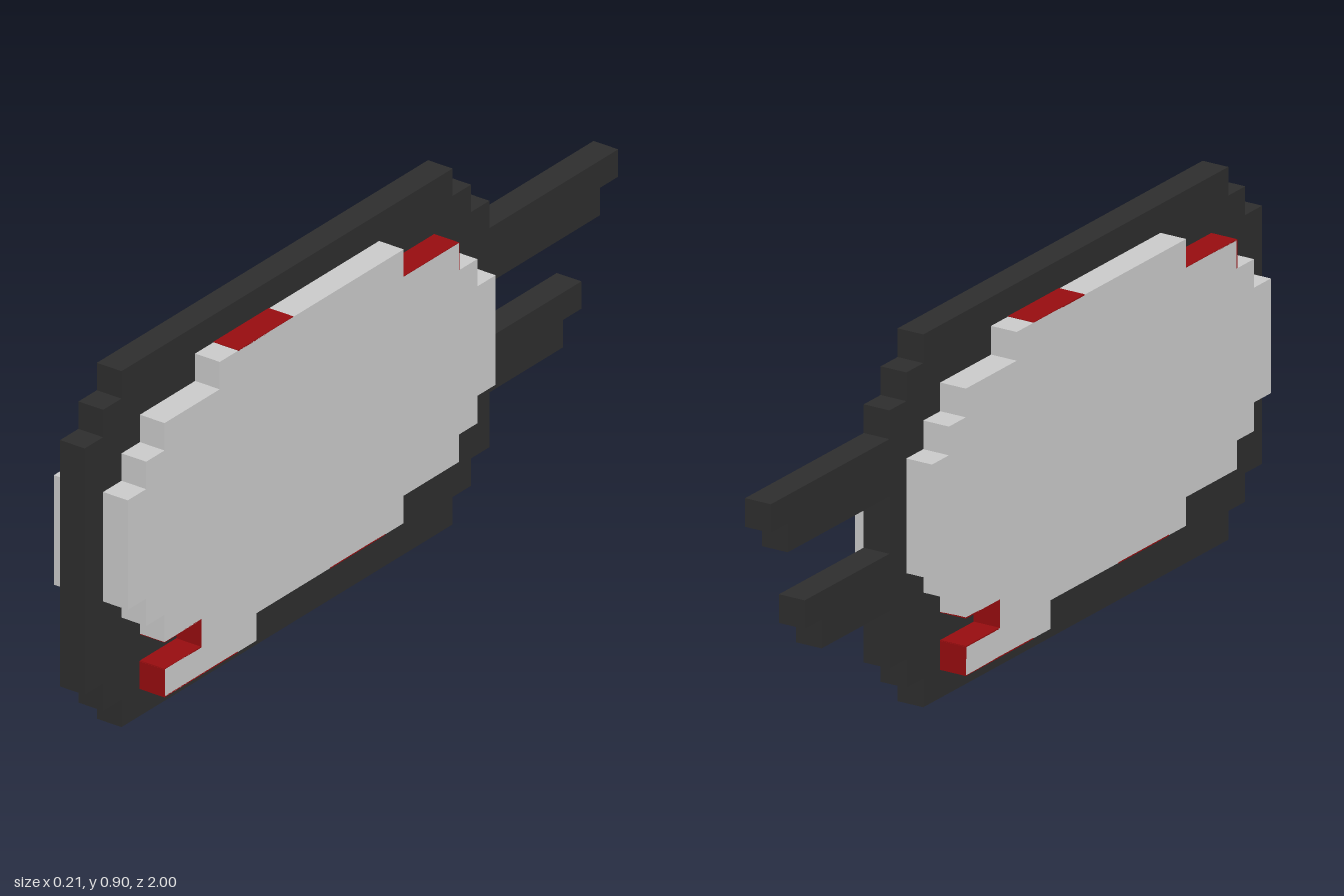
import * as THREE from 'three';

const U = 2 / 29;          // one pixel of the stepped grid
const MID = 11;            // column at the middle of the plate
const CENTRE_Z = 1 - MID * U;

const mat = (name, color) => {
  const m = new THREE.MeshStandardMaterial({ color });
  m.name = name;
  return m;
};

// Stepped slab from rows of [bottom, top, first column, last column], columns run front to back
function slab(rows, x0, x1) {
  const right = rows.flatMap(([b, t, , k]) => [[k, b], [k, t]]);
  const left = rows.flatMap(([b, t, k]) => [[k, b], [k, t]]).reverse();
  const pts = [...right, ...left].map(([k, j]) => new THREE.Vector2((k - MID) * U, j * U));
  const geo = new THREE.ExtrudeGeometry(new THREE.Shape(pts), { depth: (x1 - x0) * U, bevelEnabled: false });
  return geo.translate(0, 0, x0 * U).rotateY(Math.PI / 2);
}

const BODY_ROWS = [
  [0, 1, 2, 20], [1, 2, 1, 21], [2, 4, 0, 22],
  [4, 5, 0, 26], [5, 6, 0, 27],              // lower prong
  [6, 8, 0, 22],
  [8, 9, 0, 28], [9, 10, 0, 29],             // upper prong
  [10, 11, 0, 22], [11, 12, 1, 21], [12, 13, 2, 20],
];

const PANEL_ROWS = [
  [1, 2, 3, 8], [2, 3, 5, 16], [3, 4, 3, 19], [4, 5, 2, 20], [5, 9, 1, 21],
  [9, 10, 2, 20], [10, 11, 3, 19], [11, 12, 6, 16],
];

// Red edge strips as [first column, last column, bottom, top]
const STRIPS = [
  [7, 10, 12, 12], [16, 19, 11, 11], [19, 19, 10, 11],   // top edge and rear step
  [12, 15, 2, 2], [3, 7, 1, 1],                          // lower edge
  [3, 3, 1, 2], [3, 5, 2, 2], [5, 5, 2, 3], [3, 5, 3, 3], // notch
];

export function createModel() {
  const model = new THREE.Group();
  const black = mat('black', 0x2d2d2d);
  const grey = mat('light grey', 0xc9c9c9);
  const red = mat('red', 0x960c0f);

  const root = new THREE.Group();
  root.name = 'plate';
  root.position.z = CENTRE_Z;
  model.add(root);

  // Dark core with the two prongs
  const body = new THREE.Mesh(slab(BODY_ROWS, -0.5, 0.5), black);
  body.name = 'bodyWithProngs';
  root.add(body);

  // Same raised panel on both sides, turned half round
  const panelGeo = slab(PANEL_ROWS, 0.5, 1.5);
  const thin = 0.003;
  for (const [name, turn] of [['leftPanel', 0], ['rightPanel', Math.PI]]) {
    const side = new THREE.Group();
    side.name = name;
    side.rotation.y = turn;
    const panel = new THREE.Mesh(panelGeo, grey);
    panel.name = 'raisedPanel';
    side.add(panel);
    for (const [k0, k1, j0, j1] of STRIPS) {
      const strip = new THREE.Mesh(
        new THREE.BoxGeometry(U, Math.max((j1 - j0) * U, thin), Math.max((k1 - k0) * U, thin)), red);
      strip.name = 'redEdgeStrip';
      strip.position.set(U, (j0 + j1) / 2 * U, (MID - (k0 + k1) / 2) * U);
      side.add(strip);
    }
    root.add(side);
  }
  return model;
}
